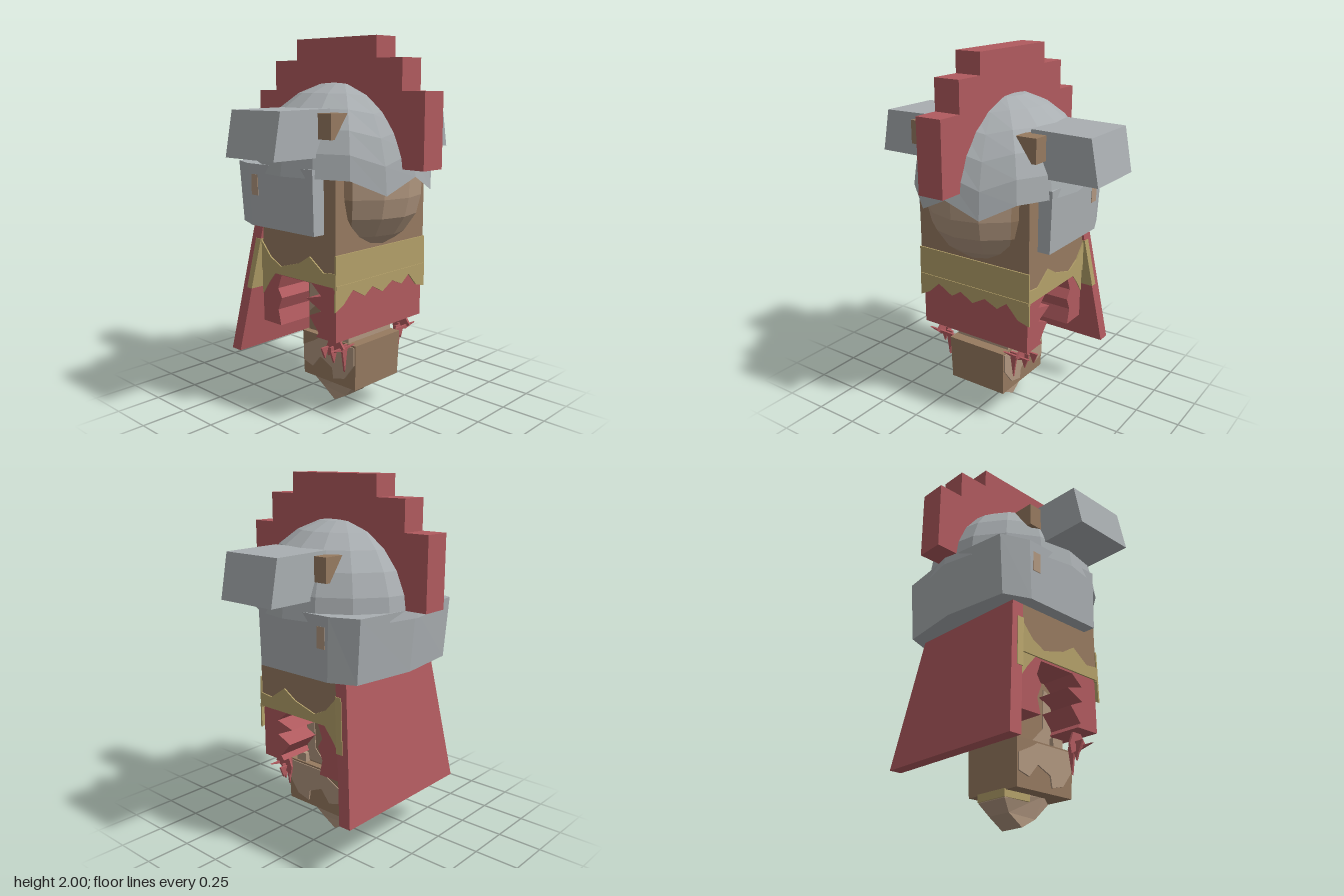
import * as THREE from 'three';

const mat = (name, color) => new THREE.MeshStandardMaterial({ name, color, flatShading: true, side: THREE.DoubleSide });

export function createModel() {
  const grey = mat('steel grey', 0xa9aeb1), red = mat('cloth red', 0xb05a5e), brown = mat('leather brown', 0x967a60);
  const tan = mat('skin tan', 0xb0967f), gold = mat('trim gold', 0xb3a069);
  const model = new THREE.Group();

  const add = (name, geometry, material) => {
    const mesh = new THREE.Mesh(geometry, material);
    mesh.name = name;
    model.add(mesh);
    return mesh;
  };
  const boxGeo = (x0, x1, y0, y1, z0, z1) =>
    new THREE.BoxGeometry(x1 - x0, y1 - y0, z1 - z0).translate((x0 + x1) / 2, (y0 + y1) / 2, (z0 + z1) / 2);
  const box = (name, material, ...b) => add(name, boxGeo(...b), material);
  // Moves every vertex by a rule
  const warp = (geo, rule) => {
    const p = geo.attributes.position, v = new THREE.Vector3();
    for (let i = 0; i < p.count; i++) {
      rule(v.fromBufferAttribute(p, i));
      p.setXYZ(i, v.x, v.y, v.z);
    }
    geo.computeVertexNormals();
    return geo;
  };
  const extrude = (points, depth) => new THREE.ExtrudeGeometry(
    new THREE.Shape(points.map(([x, y]) => new THREE.Vector2(x, y))), { depth, bevelEnabled: false }).translate(0, 0, -depth / 2);
  // Outline given as (z, y), extruded across x
  const extrudeX = (points, width, x = 0) =>
    extrude(points.map(([z, y]) => [-z, y]), width).rotateY(Math.PI / 2).translate(x, 0, 0);

  // Helmet dome with a brow edge that dips on each side of the middle
  const rim = (a) => {
    a = Math.abs(a);
    if (a < 0.42) return 1.31 - 0.09 * a / 0.42;
    if (a < 0.9) return 1.22 + 0.11 * (a - 0.42) / 0.48;
    return 1.31;
  };
  add('helmetDome', warp(new THREE.SphereGeometry(1, 16, 6, 0, Math.PI * 2, 0, Math.PI / 2), (v) => {
    const low = rim(Math.atan2(v.x, v.z));
    v.set(v.x * 0.455, low + (1.78 - low) * v.y, v.z * 0.495);
  }), grey);

  // Neck guard, slightly wider at the top
  const guard = new THREE.Shape([[0.42, -0.2], [0.42, 0.27], [0.36, 0.41], [0, 0.455], [-0.36, 0.41], [-0.42, 0.27], [-0.42, -0.2]]
    .map(([x, y]) => new THREE.Vector2(x, y)));
  add('neckGuard', warp(new THREE.ExtrudeGeometry(guard, { depth: 0.33, bevelEnabled: false }).rotateX(-Math.PI / 2).translate(0, 1.025, 0), (v) => {
    if (v.y > 1.2) { v.x *= 1.02; if (v.z < 0) v.z *= 1.06; }
  }), grey);

  // Stepped crest
  add('crest', extrudeX([[0.6, 1.35], [0.6, 1.73], [0.46, 1.73], [0.46, 1.89], [0.295, 1.89], [0.295, 2], [-0.28, 2],
    [-0.28, 1.89], [-0.455, 1.89], [-0.455, 1.73], [-0.595, 1.73], [-0.595, 1.355]], 0.146), red);

  // Face: front half of a rounded form, tan in the middle and brown at the sides
  const profile = [[0, 0.93], [0.28, 0.94], [0.36, 1.0], [0.43, 1.1], [0.455, 1.2], [0.46, 1.35]].map(([r, y]) => new THREE.Vector2(r, y));
  const facePart = (name, material, start, length, n) =>
    add(name, new THREE.LatheGeometry(profile, n, start, length).scale(0.82, 1, 1), material);
  facePart('face', tan, -0.8, 1.6, 4);
  facePart('faceSideRight', brown, -1.57, 0.77, 2);
  facePart('faceSideLeft', brown, 0.8, 0.77, 2);

  // Torso with the gold belt
  box('torso', brown, -0.35, 0.35, 0.77, 1.34, -0.265, 0.28);
  box('beltBack', gold, -0.35, 0.35, 0.77, 0.94, -0.272, -0.264);
  add('beltFront', extrude([[-0.355, 0.93], [-0.36, 0.64], [-0.3, 0.67], [-0.23, 0.735], [-0.14, 0.685], [-0.08, 0.725], [0, 0.68],
    [0.08, 0.725], [0.16, 0.69], [0.22, 0.735], [0.29, 0.66], [0.36, 0.64], [0.355, 0.93]], 0.009).translate(0, 0, 0.283), gold);
  box('beltRidge', gold, -0.355, 0.355, 0.755, 0.775, 0.27, 0.292);

  // Skirt, open at the sides with ragged edges
  add('skirt', extrudeX([[0.275, 0.475], [0.275, 0.77], [-0.28, 0.77], [-0.28, 0.475], [-0.14, 0.475], [-0.16, 0.56], [-0.13, 0.63],
    [-0.16, 0.68], [-0.13, 0.757], [0.1, 0.757], [0.17, 0.7], [0.06, 0.67], [0.17, 0.62], [0.08, 0.58], [0.15, 0.5], [0.13, 0.475]], 0.685), red);

  // Leg column, lower block and pointed foot
  box('leg', brown, -0.14, 0.14, 0.38, 0.78, -0.13, 0.15);
  box('legFront', tan, -0.17, 0.17, 0.4, 0.46, 0.13, 0.2);
  add('lowerBlock', warp(boxGeo(-0.18, 0.18, 0.16, 0.41, -0.14, 0.26), (v) => { if (v.y < 0.2) { v.x *= 0.97; v.z *= 0.97; } }), brown);
  add('foot', extrudeX([[0.13, 0.17], [0.16, 0.13], [0.09, 0.05], [0, 0], [-0.09, 0.06], [-0.14, 0.12], [-0.13, 0.17]], 0.19), tan);
  warp(model.getObjectByName('foot').geometry, (v) => { if (v.y < 0.1) v.x *= 0.75; });
  box('footTrim', gold, -0.098, 0.098, 0.125, 0.165, -0.145, 0.03);

  // Cape, wider toward the bottom and swept back
  const capeRule = (v) => {
    const t = (1.03 - v.y) / 0.73;
    v.x *= 0.35 + 0.095 * t;
    v.z += -0.295 - 0.11 * t;
  };
  add('cape', warp(boxGeo(-1, 1, 0.3, 1.06, -0.035, 0.035), capeRule), red);
  add('capeTrim', warp(boxGeo(-1.01, 1.01, 0.66, 0.94, 0.0, 0.039), capeRule), gold);

  for (const s of [-1, 1]) {
    const side = s > 0 ? 'Left' : 'Right';
    // Side block of the helmet, flaring at the bottom
    add('helmetBlock' + side, warp(boxGeo(0.3, 0.67, 1.41, 1.64, -0.157, 0.197), (v) => {
      if (v.x > 0.5 && v.y > 1.5) v.x = 0.625;
      if (v.x < 0.5 && v.y > 1.5) v.y = 1.645;
      v.x *= s;
    }), grey);
    // Brown tufts before and behind the side block
    for (const [z0, z1] of [[-0.235, -0.12], [0.15, 0.285]]) {
      add('tuft' + side, warp(boxGeo(0.27, 0.385, 1.5, 1.625, z0, z1), (v) => {
        if (v.y < 1.55 && v.x < 0.3) v.x = 0.36;
        v.x *= s;
      }), brown);
    }
    box('guardMark' + side, tan, s * 0.424 - 0.004, s * 0.424 + 0.004, 1.19, 1.3, -0.26, -0.21);
    // Gold trim on the side of the torso
    add('beltSide' + side, extrudeX([[0.286, 0.765], [0.286, 0.84], [0.2, 0.83], [0.1, 0.9], [0.02, 0.85], [-0.12, 0.81], [-0.2, 0.85],
      [-0.272, 0.93], [-0.272, 0.765]], 0.009, s * 0.353), gold);
    add('beltDrip' + side, extrudeX([[-0.28, 0.77], [-0.28, 0.63], [-0.23, 0.7], [-0.17, 0.77]], 0.006, s * 0.344), gold);
    // Tan patches on the block and leg
    add('blockPatch' + side, extrudeX([[0.25, 0.4], [0.25, 0.3], [0.18, 0.21], [0.1, 0.19], [0.09, 0.25], [0, 0.29], [-0.06, 0.22], [-0.13, 0.24],
      [-0.13, 0.33], [-0.05, 0.37], [0.0, 0.4]], 0.01, s * 0.18), tan);
    add('legPatch' + side, extrudeX([[0.14, 0.42], [0.14, 0.7], [0.09, 0.72], [0.08, 0.5], [0, 0.42]], 0.006, s * 0.142), tan);
    add('legPatchBack' + side, extrudeX([[-0.02, 0.7], [-0.12, 0.72], [-0.12, 0.52], [-0.06, 0.57]], 0.006, s * 0.142), tan);
    // Ragged cloth hanging under the skirt
    const tatters = [[0.17, 0.4, 0.34, 0.42], [0.2, 0.27, 0.24, 0.4], [0.25, 0.33, 0.3, 0.4], [0.29, 0.36, 0.34, 0.42]];
    tatters.forEach(([x0, yTip, x1, yTop], i) =>
      add('tatter' + side, extrude([[s * x0, yTop], [s * (x0 + x1) / 2, yTip], [s * x1, yTop], [s * x1, 0.42], [s * x0, 0.42]], 0.012)
        .translate(0, 0, 0.24 - i * 0.025), red));
    add('tatterSide' + side, extrudeX([[0.265, 0.42], [0.15, 0.36], [0.14, 0.41], [0.17, 0.48], [0.22, 0.48]], 0.012, s * 0.27), red);
  }
  return model;
}
